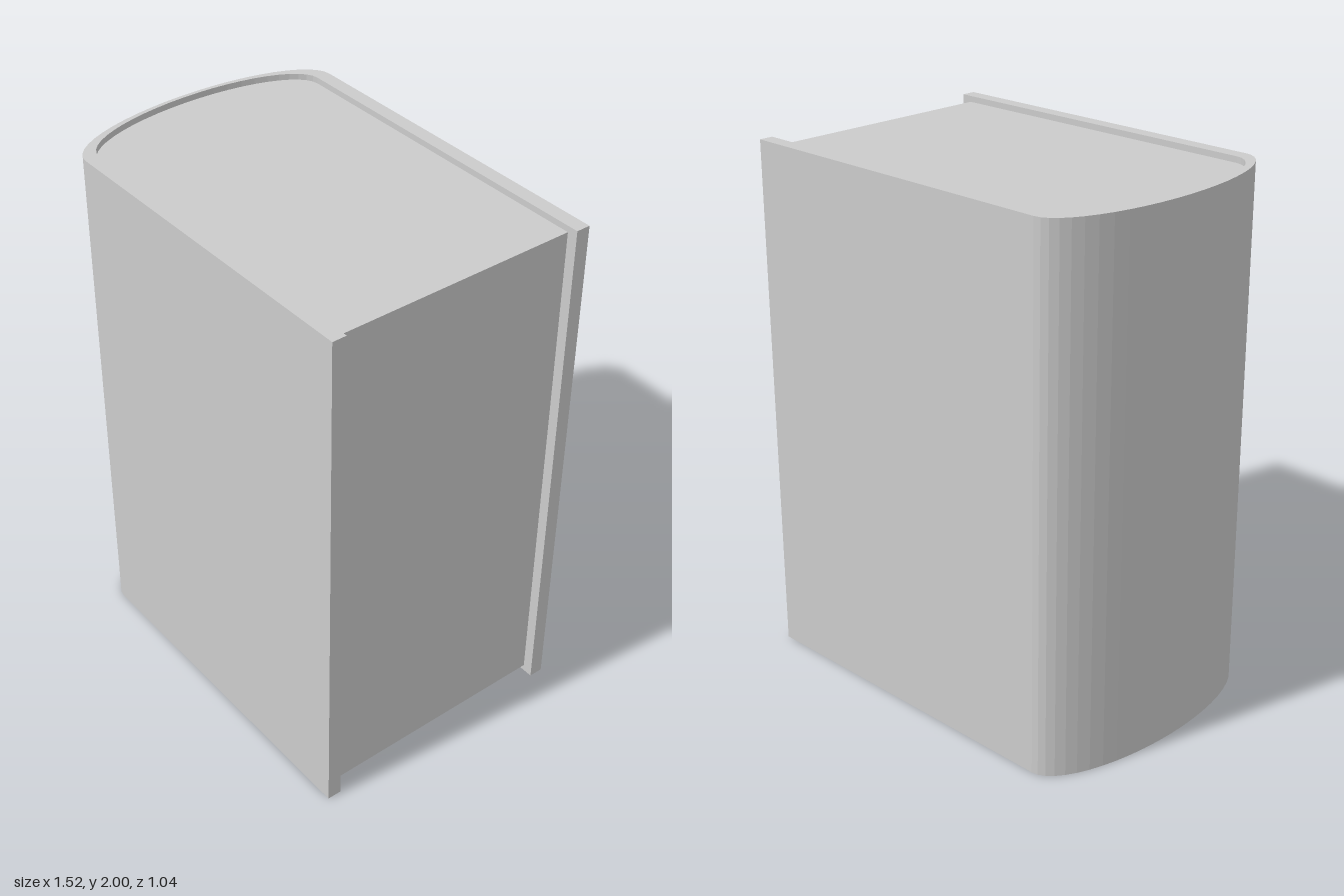
import * as THREE from 'three';

const SPINE_X = -0.575; // where the straight boards meet the rounded spine
const SEGMENTS = 24;

// Half ellipse around the spine, from the +z board to the -z board
function spineArc(depth, halfWidth) {
  return Array.from({ length: SEGMENTS + 1 }, (_, i) => {
    const a = Math.PI / 2 + (Math.PI * i) / SEGMENTS;
    return new THREE.Vector2(SPINE_X + depth * Math.cos(a), halfWidth * Math.sin(a));
  });
}

// Extrude a plan outline upward from y0 to y1
function upright(name, points, y0, y1, material) {
  const geometry = new THREE.ExtrudeGeometry(new THREE.Shape(points), {
    depth: y1 - y0, bevelEnabled: false,
  });
  geometry.rotateX(-Math.PI / 2);
  geometry.translate(0, y0, 0);
  const mesh = new THREE.Mesh(geometry, material);
  mesh.name = name;
  return mesh;
}

export function createModel() {
  const group = new THREE.Group();
  group.name = 'book';
  const material = new THREE.MeshStandardMaterial({ color: 0xcccccc, flatShading: true });
  const point = (x, z) => new THREE.Vector2(x, z);

  const boardEnd = 0.762, pageEnd = 0.722;
  const outerZ = 0.522, innerZ = 0.468;
  const outer = spineArc(0.187, outerZ);
  const inner = spineArc(0.172, innerZ);

  // Cover: two boards joined by a rounded spine, open at the page edge
  const coverOutline = [
    point(boardEnd, outerZ), ...outer, point(boardEnd, -outerZ),
    point(boardEnd, -innerZ), ...inner.slice().reverse(), point(boardEnd, innerZ),
  ];
  group.add(upright('cover', coverOutline, 0, 2, material));

  // Page block, set in slightly from the cover edges
  const pageOutline = [point(pageEnd, innerZ), ...inner, point(pageEnd, -innerZ)];
  group.add(upright('pages', pageOutline, 0.025, 1.977, material));

  return group;
}
